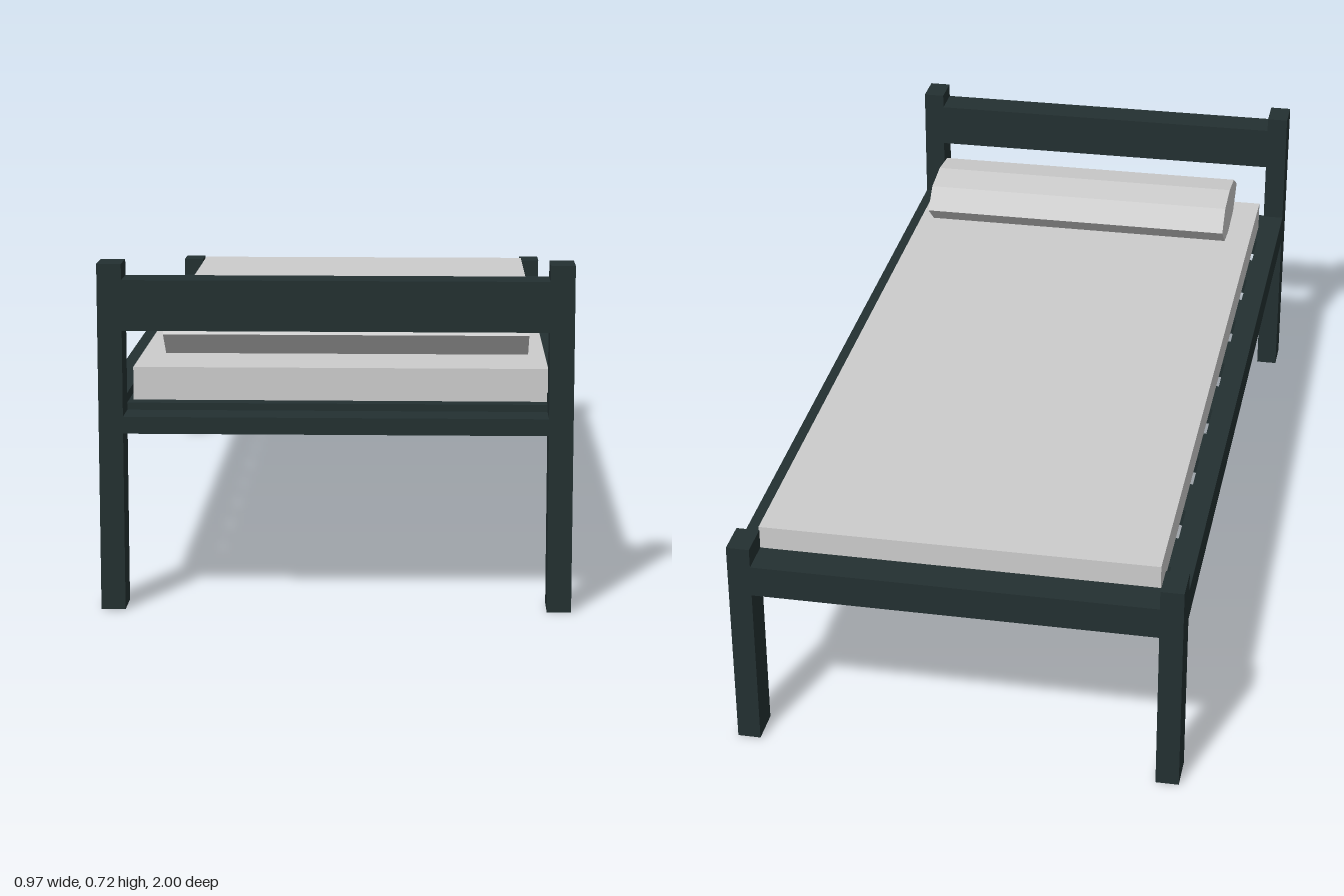
import * as THREE from 'three';

export function createModel() {
  const bed = new THREE.Group();
  bed.name = 'bed';
  const paint = new THREE.MeshStandardMaterial({ color: 0x233031 });
  paint.name = 'darkGreenPaint';
  const linen = new THREE.MeshStandardMaterial({ color: 0xcccccc, flatShading: true });
  linen.name = 'paleGreyLinen';

  // Box given by its limits on each axis
  function box(name, [x0, x1], [y0, y1], [z0, z1], material = paint) {
    const mesh = new THREE.Mesh(new THREE.BoxGeometry(x1 - x0, y1 - y0, z1 - z0), material);
    mesh.position.set((x0 + x1) / 2, (y0 + y1) / 2, (z0 + z1) / 2);
    mesh.name = name;
    bed.add(mesh);
  }

  // Posts and side rails, mirrored
  for (const [side, x] of [['right', [-0.485, -0.435]], ['left', [0.435, 0.485]]]) {
    box(side + 'HeadPost', x, [0, 0.72], [0.92, 1]);
    box(side + 'FootPost', x, [0, 0.483], [-1, -0.92]);
    box(side + 'SideRail', x, [0.37, 0.44], [-0.92, 0.92]);
  }

  // Cross rails
  const inner = [-0.435, 0.435];
  box('headboard', inner, [0.583, 0.687], [0.92, 1]);
  box('headRail', inner, [0.37, 0.405], [0.92, 1]);
  box('footRail', inner, [0.37, 0.44], [-1, -0.92]);

  // Slats with equal gaps
  for (let i = 0; i < 8; i++) {
    const z = -0.805 + i * 0.23;
    box('slat', inner, [0.382, 0.42], [z, z + 0.115]);
  }

  box('mattress', [-0.425, 0.437], [0.421, 0.49], [-0.918, 0.89], linen);

  // Faceted pillow: a side profile in (-z, y) drawn along x
  const profile = [[-0.865, 0.555], [-0.80, 0.505], [-0.70, 0.493], [-0.62, 0.503],
    [-0.56, 0.552], [-0.61, 0.598], [-0.70, 0.61], [-0.79, 0.599]];
  const shape = new THREE.Shape(profile.map(([a, b]) => new THREE.Vector2(a, b)));
  const geometry = new THREE.ExtrudeGeometry(shape, { depth: 0.763, bevelEnabled: false });
  geometry.rotateY(Math.PI / 2);
  const pillow = new THREE.Mesh(geometry, linen);
  pillow.position.x = -0.365;
  pillow.name = 'pillow';
  bed.add(pillow);

  return bed;
}
